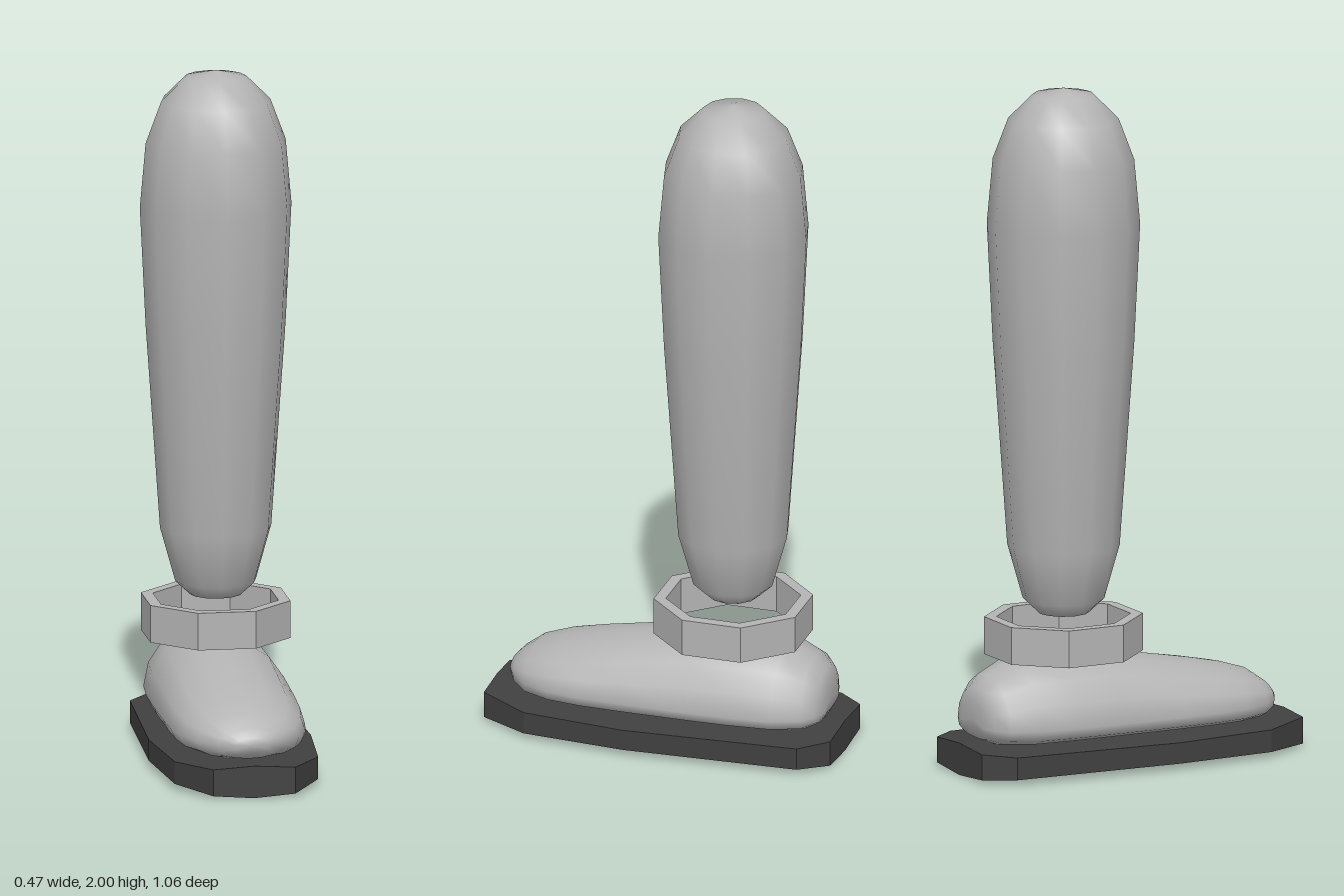
import * as THREE from 'three';

// Joins closed rings of points (counter-clockwise seen from +z, ordered by rising z) and caps both ends
function loft(rings) {
  const n = rings[0].length, last = rings.length - 1, pos = [], idx = [];
  for (const ring of rings) for (const p of ring) pos.push(...p);
  for (let i = 0; i < last; i++) {
    for (let j = 0; j < n; j++) {
      const k = (j + 1) % n;
      const a = i * n + j, b = i * n + k, c = b + n, d = a + n;
      idx.push(a, b, c, a, c, d);
    }
  }
  for (const end of [0, last]) {
    const centre = pos.length / 3;
    for (let axis = 0; axis < 3; axis++) {
      pos.push(rings[end].reduce((sum, p) => sum + p[axis], 0) / n);
    }
    for (let j = 0; j < n; j++) {
      const a = end * n + j, b = end * n + ((j + 1) % n);
      if (end === 0) idx.push(centre, b, a);
      else idx.push(centre, a, b);
    }
  }
  const geo = new THREE.BufferGeometry();
  geo.setAttribute('position', new THREE.Float32BufferAttribute(pos, 3));
  geo.setIndex(idx);
  return geo;
}

function octagon(PathType, rx, rz) {
  const path = new PathType();
  const pts = [];
  for (let i = 0; i < 8; i++) {
    const a = (i + 0.5) * Math.PI / 4, s = 1 / Math.cos(Math.PI / 8);
    pts.push(new THREE.Vector2(rx * s * Math.cos(a), rz * s * Math.sin(a)));
  }
  return path.setFromPoints(pts);
}

export function createModel() {
  const model = new THREE.Group();
  const grey = new THREE.MeshStandardMaterial({ color: 0xb4b4b4 });
  grey.name = 'light grey';
  const dark = new THREE.MeshStandardMaterial({ color: 0x404040 });
  dark.name = 'dark grey';

  const add = (name, geo, mat) => {
    const mesh = new THREE.Mesh(geo, mat);
    mesh.name = name;
    model.add(mesh);
    return mesh;
  };

  // Leg: rounded, tapering twelve-sided column, [radius, height]
  const profile = [
    [0, 0.445], [0.075, 0.45], [0.118, 0.49], [0.163, 0.65], [0.205, 1.25],
    [0.222, 1.6], [0.205, 1.79], [0.16, 1.91], [0.09, 1.98], [0, 2],
  ].map(([r, y]) => new THREE.Vector2(r, y));
  add('leg', new THREE.LatheGeometry(profile, 12), grey).position.z = -0.19;

  // Ankle ring: open octagonal band
  const band = octagon(THREE.Shape, 0.205, 0.215);
  band.holes.push(octagon(THREE.Path, 0.172, 0.182));
  const bandGeo = new THREE.ExtrudeGeometry(band, { depth: 0.11, bevelEnabled: false });
  bandGeo.rotateX(-Math.PI / 2);
  add('ankleRing', bandGeo, grey).position.set(0, 0.33, -0.19);

  // Foot: smooth sections, [z, half width, top height, bottom height]
  const footRings = [
    [-0.488, 0.07, 0.22, 0.13], [-0.475, 0.115, 0.255, 0.105], [-0.44, 0.155, 0.29, 0.09],
    [-0.36, 0.185, 0.328, 0.085], [-0.23, 0.197, 0.333, 0.085], [-0.1, 0.2, 0.332, 0.085],
    [0.1, 0.2, 0.297, 0.085], [0.22, 0.197, 0.274, 0.085], [0.32, 0.183, 0.252, 0.085],
    [0.4, 0.15, 0.226, 0.09], [0.45, 0.095, 0.19, 0.1], [0.473, 0.05, 0.165, 0.12],
  ].map(([z, w, top, bottom]) => {
    const ring = [], mid = 0.145;
    for (let j = 0; j < 16; j++) {
      const a = j * Math.PI / 8, s = Math.sin(a);
      const y = s >= 0 ? mid + (top - mid) * s : mid - (mid - bottom) * Math.pow(-s, 0.7);
      ring.push([w * Math.cos(a), y, z]);
    }
    return ring;
  });
  const footGeo = loft(footRings);
  footGeo.computeVertexNormals();
  add('foot', footGeo, grey);

  // Sole: faceted slab, a little thinner towards its sides, [z, half width]
  const soleRings = [
    [-0.53, 0.14], [-0.45, 0.21], [0.07, 0.237], [0.38, 0.21], [0.53, 0.12],
  ].map(([z, w]) => {
    const top = 0.095 - 0.06 * w, bottom = 0.08 * w;
    return [
      [w, bottom, z], [w, top, z], [0, 0.095, z],
      [-w, top, z], [-w, bottom, z], [0, 0, z],
    ];
  });
  const soleGeo = loft(soleRings).toNonIndexed();
  soleGeo.computeVertexNormals();
  add('sole', soleGeo, dark);

  return model;
}
